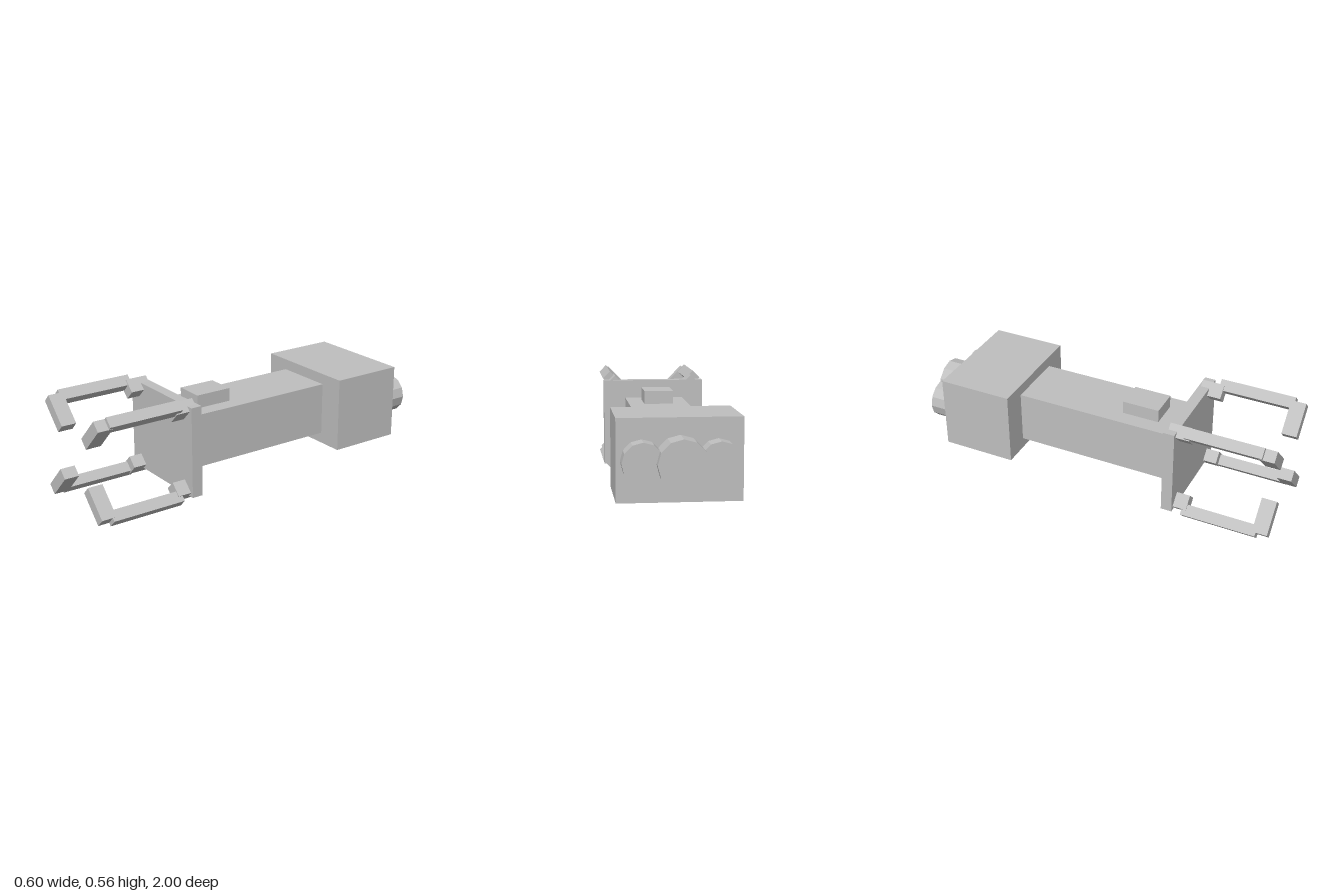
import * as THREE from 'three';

export function createModel() {
  const group = new THREE.Group();
  const grey = new THREE.MeshStandardMaterial({ color: 0xbfbfbf, flatShading: true });
  grey.name = 'grey';
  const axisY = 0.284;

  // Box given by its x, y and z extents
  function box(parent, name, [x0, x1], [y0, y1], [z0, z1]) {
    const mesh = new THREE.Mesh(new THREE.BoxGeometry(x1 - x0, y1 - y0, z1 - z0), grey);
    mesh.position.set((x0 + x1) / 2, (y0 + y1) / 2, (z0 + z1) / 2);
    mesh.name = name;
    parent.add(mesh);
  }

  // Body and head plate, arranged around the long axis
  const core = new THREE.Group();
  core.name = 'core';
  core.position.y = axisY;
  group.add(core);
  box(core, 'rearBlock', [-0.3, 0.3], [-0.2, 0.2], [-0.85, -0.45]);
  box(core, 'shaft', [-0.162, 0.162], [-0.142, 0.142], [-0.45, 0.415]);
  box(core, 'topButton', [-0.078, 0.078], [0.142, 0.212], [0.115, 0.315]);
  box(core, 'clawPlate', [-0.282, 0.282], [-0.24, 0.24], [0.428, 0.487]);

  // Thrusters on the back
  function thruster(name, x, radius, z0, z1) {
    const geometry = new THREE.CylinderGeometry(radius, radius, z1 - z0, 12);
    geometry.rotateX(Math.PI / 2);
    const mesh = new THREE.Mesh(geometry, grey);
    mesh.position.set(x, 0, (z0 + z1) / 2);
    mesh.name = name;
    core.add(mesh);
  }
  thruster('middleThruster', 0, 0.12, -1, -0.86);
  thruster('leftThruster', 0.18, 0.1, -0.95, -0.85);
  thruster('rightThruster', -0.18, 0.1, -0.95, -0.85);

  // Four claws on the diagonals, each built along its own radial x axis
  for (let i = 0; i < 4; i++) {
    const claw = new THREE.Group();
    claw.name = 'claw' + (i + 1);
    claw.rotation.z = Math.PI / 4 + i * Math.PI / 2;
    box(claw, 'clawBracket', [0.264, 0.342], [-0.034, 0.034], [0.44, 0.56]);
    box(claw, 'clawArm', [0.311, 0.371], [-0.0285, 0.0285], [0.535, 0.94]);
    box(claw, 'clawFinger', [0.171, 0.351], [-0.03, 0.03], [0.92, 1]);
    core.add(claw);
  }

  return group;
}
